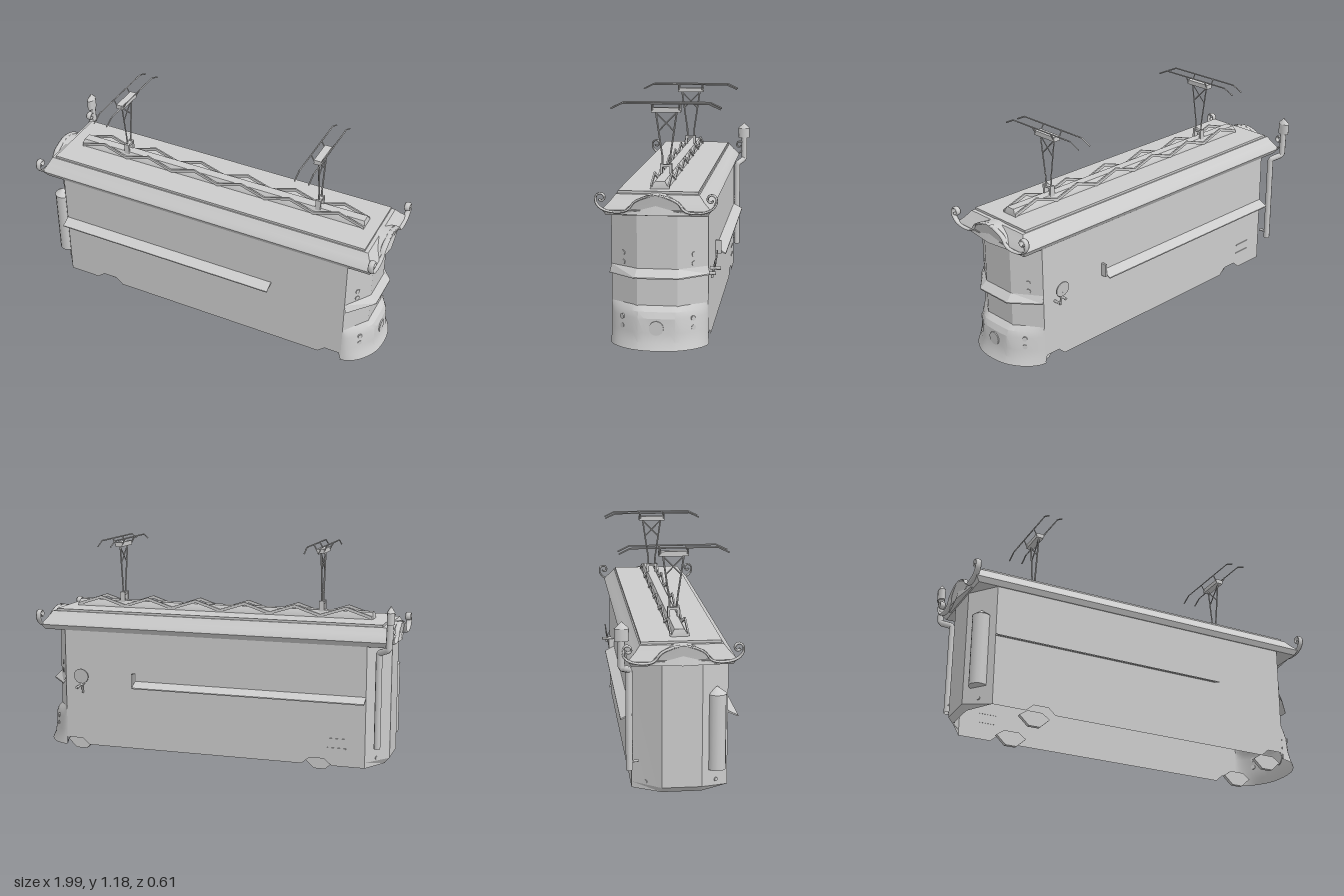
import * as THREE from 'three';
import { toCreasedNormals } from 'three/addons/utils/BufferGeometryUtils.js';

const mat = new THREE.MeshStandardMaterial({ color: 0xcccccc, side: THREE.DoubleSide });
const ZC = 0.015; // centre line of the car

function add(parent, name, geo, x = 0, y = 0, z = 0) {
  const m = new THREE.Mesh(geo, mat);
  m.name = name;
  m.position.set(x, y, z);
  parent.add(m);
  return m;
}
const box = (p, n, w, h, d, x, y, z) => add(p, n, new THREE.BoxGeometry(w, h, d), x, y, z);

// Skin through rows of [x, y, z] points: a capped solid, or an open sheet
function loft(rows, solid = true) {
  const pos = [];
  const tri = (...pts) => pts.forEach(p => pos.push(...p));
  const n = rows[0].length;
  for (let r = 0; r + 1 < rows.length; r++) {
    const a = rows[r], b = rows[r + 1];
    for (let i = 0; i < (solid ? n : n - 1); i++) {
      const j = (i + 1) % n;
      tri(a[i], b[j], b[i]);
      tri(a[i], a[j], b[j]);
    }
  }
  if (solid) [rows[0], rows[rows.length - 1]].forEach((row, k) => {
    const c = [0, 1, 2].map(q => row.reduce((s, p) => s + p[q], 0) / n);
    for (let i = 0; i < n; i++) {
      const j = (i + 1) % n;
      if (k) tri(c, row[i], row[j]); else tri(c, row[j], row[i]);
    }
  });
  const g = new THREE.BufferGeometry();
  g.setAttribute('position', new THREE.Float32BufferAttribute(pos, 3));
  return toCreasedNormals(g, 0.35);
}
const rect = (y, x0, x1, z0, z1) => [[x0, y, z1], [x1, y, z1], [x1, y, z0], [x0, y, z0]];

// Round or square bar between two points
function bar(p, name, a, b, r, sides = 4) {
  const A = new THREE.Vector3(...a), B = new THREE.Vector3(...b), d = B.clone().sub(A);
  const m = add(p, name, new THREE.CylinderGeometry(r, r, d.length(), sides));
  m.position.copy(A).add(B).multiplyScalar(0.5);
  m.quaternion.setFromUnitVectors(new THREE.Vector3(0, 1, 0), d.normalize());
}

function buildBody(g) {
  // Side walls of an open-bottomed shell, with openings for the wheels
  const s = new THREE.Shape();
  s.moveTo(-0.85, 0.69);
  s.lineTo(-0.85, 0.045);
  for (const x of [-0.595, 0.775]) {
    s.lineTo(x - 0.08, 0.045); s.lineTo(x - 0.04, 0.08);
    s.lineTo(x + 0.04, 0.08); s.lineTo(x + (x > 0 ? 0.05 : 0.08), 0.045);
  }
  s.lineTo(0.828, 0.045);
  s.lineTo(0.828, 0.69);
  for (const z of [0.25, -0.22]) add(g, 'sideWall', new THREE.ShapeGeometry(s), 0, 0, z);

  // Faceted ends
  const plan = (y, xi, xo, grow = 0) => [
    [xi, y, 0.25 + grow], [xo, y, 0.112 + grow], [xo, y, -0.082 - grow], [xi, y, -0.22 - grow]];
  add(g, 'frontCab', loft([plan(0.24, 0.828, 0.92), plan(0.69, 0.828, 0.92)], false));
  add(g, 'rearCab', loft([plan(0.045, -0.85, -0.93), plan(0.075, -0.85, -0.955), plan(0.69, -0.85, -0.955)], false));
  add(g, 'cabVisor', loft([plan(0.425, 0.828, 0.921), plan(0.388, 0.84, 0.957, 0.008),
    plan(0.382, 0.84, 0.957, 0.008), plan(0.405, 0.828, 0.921)], false));

  // Skirt: follows the facets at its top and flares to a rounded foot
  const skirt = [[0.245, 0.92, 0.235, 0], [0.22, 0.948, 0.235, 0.3], [0.19, 0.962, 0.235, 0.45],
    [0.12, 0.966, 0.236, 0.6], [0.075, 0.975, 0.237, 0.8], [0.04, 0.993, 0.24, 0.9]];
  add(g, 'frontSkirt', loft(skirt.map(([y, front, half, round]) => Array.from({ length: 25 }, (_, i) => {
    const u = Math.sin((i / 24 - 0.5) * Math.PI);
    const facet = Math.min(1, (1 - Math.abs(u)) / 0.585), arc = Math.sqrt(Math.max(0, 1 - u * u));
    return [0.828 + (front - 0.828) * (facet + (arc - facet) * round), y, ZC - half * u];
  })), false));

  // Headlamp and small round lights
  const disc = (name, r, x, y, z, turn) => {
    const m = add(g, name, new THREE.CylinderGeometry(r, r, 0.008, r > 0.02 ? 20 : 8), x, y, z);
    m.rotation.set(0, turn, Math.PI / 2);
  };
  disc('headlamp', 0.035, 0.965, 0.145, ZC, 0);
  for (const s of [-1, 1]) {
    for (const y of [0.49, 0.445]) disc('cabLight', 0.013, 0.871, y, ZC + s * 0.171, -s * 0.6);
    for (const y of [0.185, 0.14]) disc('skirtLight', 0.013, 0.906, y, ZC + s * 0.171, -s * 0.7);
    disc('rearLight', 0.01, -0.9, 0.09, ZC + s * 0.171, s * 0.65);
  }

  // Long side awnings
  for (const [z, s, x1] of [[0.25, 1, 0.41], [-0.22, -1, 0.42]]) {
    const tip = z + s * 0.052;
    add(g, 'sideAwning', loft([-0.85, x1].map(x => [[x, 0.422, z], [x, 0.396, tip], [x, 0.39, tip], [x, 0.412, z]])));
  }
  box(g, 'awningTab', 0.012, 0.07, 0.03, 0.425, 0.43, -0.235);

  // Wheels peeking out below
  const hex = new THREE.Shape([[-0.082, 0.05], [-0.03, 0.002], [0.03, 0.002], [0.082, 0.05], [0.04, 0.08], [-0.04, 0.08]]
    .map(p => new THREE.Vector2(...p)));
  for (const x of [-0.595, 0.775]) for (const z of [0.155, -0.147])
    add(g, 'wheel', new THREE.ExtrudeGeometry(hex, { depth: 0.02, bevelEnabled: false }), x, 0, z);
}

function buildRoof(g) {
  add(g, 'roof', loft([
    rect(0.685, -0.955, 0.945, -0.225, 0.255), rect(0.712, -0.975, 0.96, -0.243, 0.27),
    rect(0.722, -0.97, 0.955, -0.238, 0.265), rect(0.75, -0.955, 0.935, -0.21, 0.237),
    rect(0.782, -0.94, 0.915, -0.185, 0.212)]));
  add(g, 'roofDeck', loft([rect(0.778, -0.92, 0.895, -0.179, 0.206), rect(0.794, -0.92, 0.895, -0.179, 0.206)]));
  add(g, 'roofRidge', loft([rect(0.79, -0.84, 0.83, -0.026, 0.055), rect(0.81, -0.84, 0.83, -0.022, 0.05),
    rect(0.83, -0.835, 0.825, -0.01, 0.038)]));

  // Zigzag trim along both sides of the ridge
  const top = [], low = [];
  for (let i = 0; i <= 12; i++) {
    const x = -0.835 + i * 1.665 / 12, y = i % 2 ? 0.855 : 0.81;
    top.push(new THREE.Vector2(x, y));
    low.unshift(new THREE.Vector2(x, y - 0.016));
  }
  const zig = new THREE.ExtrudeGeometry(new THREE.Shape([...top, ...low]), { depth: 0.008, bevelEnabled: false });
  for (const z of [0.053, -0.032]) add(g, 'zigzagTrim', zig, 0, 0, z);

  // Bulged gable and scrolled trim at each end
  const gable = [[-0.16, 0.69], [-0.145, 0.715], [-0.105, 0.752], [-0.04, 0.783], [0, 0.787],
    [0.04, 0.783], [0.105, 0.752], [0.145, 0.715], [0.16, 0.69], [0, 0.69]];
  for (const s of [-1, 1]) {
    const X = x => -0.0075 + s * x;
    const row = (x, bulge) => gable.map(([z, y]) => [X(x + bulge * (1 - (z / 0.16) ** 2)), y, ZC + z]);
    add(g, 'endGable', loft([row(0.89, 0), row(0.96, 0.022)]));
    for (const m of [-1, 1]) {
      const pts = [[0.015, 0.785], [0.06, 0.773], [0.105, 0.75], [0.13, 0.718], [0.16, 0.705], [0.22, 0.706],
        [0.262, 0.722], [0.283, 0.748]];
      for (let i = 0; i <= 10; i++) { // spiral curl
        const a = -0.2 + i * 0.6, r = 0.026 - i * 0.0016;
        pts.push([0.26 + r * Math.cos(a), 0.77 + r * Math.sin(a)]);
      }
      const curve = new THREE.CatmullRomCurve3(pts.map(([z, y]) => new THREE.Vector3(0, y, m * z)));
      const geo = new THREE.TubeGeometry(curve, 60, 0.0055, 6).scale(2.8, 1, 1);
      add(g, 'scrollTrim', geo, X(0.97), 0, ZC);
    }
  }
}

function buildPantograph(x) {
  const p = new THREE.Group();
  p.name = 'pantograph';
  p.position.set(x, 0, ZC);
  box(p, 'mount', 0.03, 0.05, 0.055, 0, 0.805, 0);
  for (const s of [-1, 1]) {
    box(p, 'bracket', 0.028, 0.065, 0.012, 0, 0.845, s * 0.024);
    bar(p, 'lowerLeg', [0, 0.87, s * 0.019], [0, 0.92, s * 0.02], 0.005);
    bar(p, 'upperLeg', [0, 0.915, s * 0.02], [0, 1.14, s * 0.053], 0.0045);
    bar(p, 'crossBrace', [0, 1.04, -s * 0.038], [0, 1.13, s * 0.05], 0.0035);
    for (const d of [-1, 1])
      bar(p, 'fork', [d * 0.018, 1.145, s * 0.068], [d * 0.037, 1.18, s * 0.068], 0.004);
    // Contact bars with drooping tips
    bar(p, 'contactBar', [s * 0.037, 1.179, -0.215], [s * 0.037, 1.179, 0.215], 0.004);
    for (const d of [-1, 1])
      bar(p, 'contactTip', [s * 0.037, 1.179, d * 0.215], [s * 0.037, 1.152, d * 0.272], 0.004);
  }
  box(p, 'tie', 0.02, 0.012, 0.04, 0, 0.868, 0);
  box(p, 'headPlate', 0.038, 0.024, 0.147, 0, 1.145, 0);
  return p;
}

function buildFittings(g) {
  // Stove pipe bending out past the eaves
  const pipe = [[-0.915, 0.16, -0.235], [-0.915, 0.66, -0.235], [-0.97, 0.685, -0.274], [-0.974, 0.82, -0.274]];
  const path = new THREE.CurvePath();
  for (let i = 0; i < 3; i++)
    path.add(new THREE.LineCurve3(new THREE.Vector3(...pipe[i]), new THREE.Vector3(...pipe[i + 1])));
  add(g, 'stovePipe', new THREE.TubeGeometry(path, 60, 0.017, 8));
  add(g, 'pipeCap', new THREE.CylinderGeometry(0.034, 0.034, 0.06, 8).scale(0.6, 1, 1), -0.976, 0.845, -0.272);
  add(g, 'pipeCone', new THREE.ConeGeometry(0.036, 0.035, 8).scale(0.6, 1, 1), -0.976, 0.892, -0.272);
  bar(g, 'pipeClip', [-0.9, 0.2, -0.19], [-0.915, 0.2, -0.235], 0.008);

  // Upright tank on the rear corner
  add(g, 'tank', new THREE.CylinderGeometry(0.046, 0.046, 0.38, 12), -0.907, 0.34, 0.188);
  add(g, 'tankTop', new THREE.ConeGeometry(0.048, 0.035, 12), -0.907, 0.547, 0.188);

  // Round mirror on its arms, and vents on the back wall
  const m = add(g, 'mirror', new THREE.CylinderGeometry(0.042, 0.042, 0.006, 16), 0.725, 0.437, -0.248);
  m.rotation.x = Math.PI / 2 - 0.12;
  bar(g, 'mirrorArm', [0.725, 0.39, -0.22], [0.725, 0.39, -0.272], 0.009);
  bar(g, 'mirrorFoot', [0.755, 0.37, -0.22], [0.755, 0.37, -0.25], 0.009);
  bar(g, 'mirrorStem', [0.725, 0.34, -0.228], [0.725, 0.42, -0.245], 0.006);
  for (const y of [0.14, 0.19]) box(g, 'vent', 0.1, 0.006, 0.006, -0.7, y, -0.221);
}

export function createModel() {
  const g = new THREE.Group();
  g.name = 'tram';
  buildBody(g);
  buildRoof(g);
  for (const x of [-0.562, 0.57]) g.add(buildPantograph(x));
  buildFittings(g);
  return g;
}
